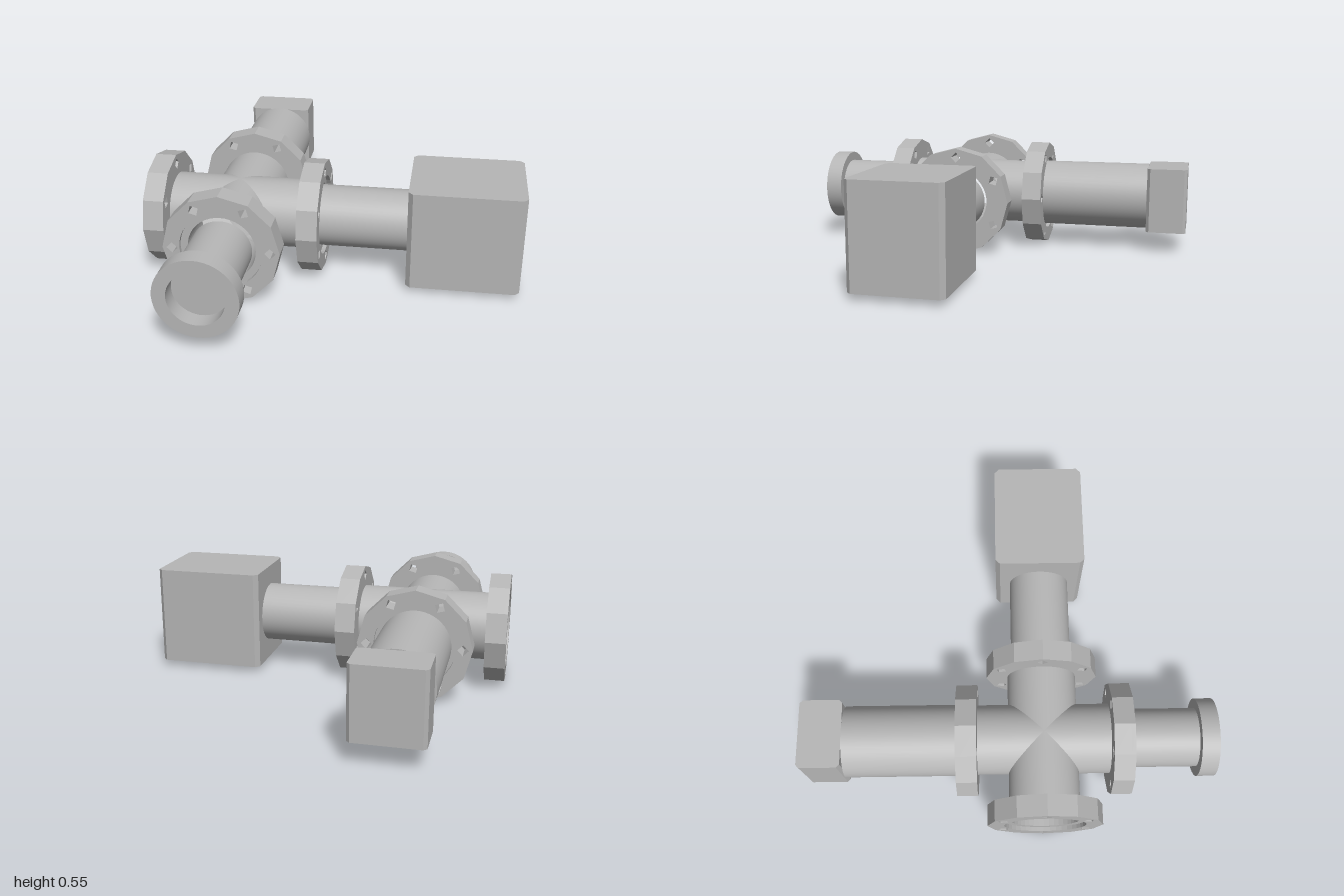
import * as THREE from 'three';

const CX = -0.48, CY = 0.28, CZ = 0.17; // centre of the cross

export function createModel() {
  const model = new THREE.Group();
  const steel = new THREE.MeshStandardMaterial({ color: 0xb6b6b6, side: THREE.DoubleSide });
  steel.name = 'steel grey';

  function add(parent, name, geometry, x = 0, y = 0, z = 0) {
    const mesh = new THREE.Mesh(geometry, steel);
    mesh.name = name;
    mesh.position.set(x, y, z);
    parent.add(mesh);
    return mesh;
  }

  // regular polygon outline
  function ring(n, r, x = 0, y = 0, turn = 0) {
    return Array.from({ length: n }, (_, i) => {
      const a = turn + (i / n) * Math.PI * 2;
      return new THREE.Vector2(x + r * Math.cos(a), y + r * Math.sin(a));
    });
  }

  // twelve-sided plate with a bore and six bolt holes
  function flangePlate(bore, depth, turn) {
    const shape = new THREE.Shape(ring(12, 0.276));
    shape.holes.push(new THREE.Path(ring(40, bore)));
    for (let i = 0; i < 6; i++) {
      const a = turn + (i * Math.PI) / 3;
      shape.holes.push(new THREE.Path(ring(4, 0.027, 0.23 * Math.cos(a), 0.23 * Math.sin(a), a)));
    }
    return new THREE.ExtrudeGeometry(shape, { depth, bevelEnabled: false });
  }

  // open tube along +z, mitred at its inner end to meet its neighbours
  function mitredTube(r) {
    const g = new THREE.CylinderGeometry(r, r, 1, 48, 1, true).rotateX(Math.PI / 2);
    const p = g.attributes.position;
    for (let i = 0; i < p.count; i++) p.setZ(i, p.getZ(i) > 0 ? 0.33 : Math.abs(p.getX(i)));
    return g;
  }

  // solid pipe along +z from z0 to z1
  function pipe(r, z0, z1) {
    return new THREE.CylinderGeometry(r, r, z1 - z0, 48).rotateX(Math.PI / 2).translate(0, 0, (z0 + z1) / 2);
  }

  // box with bevelled upright edges, centred
  function bevelledBox(w, h, d, c) {
    const a = w / 2, b = d / 2;
    const corners = [[a, b - c], [a - c, b], [c - a, b], [-a, b - c], [-a, c - b], [c - a, -b], [a - c, -b], [a, c - b]];
    const shape = new THREE.Shape(corners.map(([x, y]) => new THREE.Vector2(x, y)));
    return new THREE.ExtrudeGeometry(shape, { depth: h, bevelEnabled: false })
      .translate(0, 0, -h / 2).rotateX(-Math.PI / 2);
  }

  // four arms of the cross, each with a recessed flange
  const arms = ['front', 'left', 'back', 'right'].map((side, i) => {
    const arm = new THREE.Group();
    arm.name = side + 'Arm';
    arm.position.set(CX, CY, CZ);
    arm.rotation.y = (i * Math.PI) / 2;
    const turn = i % 2 ? Math.PI / 2 : 0;
    add(arm, 'outerTube', mitredTube(0.17));
    add(arm, 'innerTube', mitredTube(0.16));
    add(arm, 'flange', flangePlate(0.16, 0.08, turn), 0, 0, 0.32);
    add(arm, 'flangeRim', flangePlate(0.195, 0.02, turn), 0, 0, 0.4);
    model.add(arm);
    return arm;
  });
  const [front, left, back] = arms;

  // front pipe with a recessed end ring
  add(front, 'frontPipe', pipe(0.143, 0.4, 0.752));
  const profile = [[0.128, 0.745], [0.19, 0.745], [0.19, 0.83], [0.128, 0.83], [0.128, 0.745]];
  for (let i = 0; i < 4; i++) {
    const pts = profile.slice(i, i + 2).map(([r, z]) => new THREE.Vector2(r, z));
    add(front, 'endRing', new THREE.LatheGeometry(pts, 48).rotateX(Math.PI / 2));
  }

  // side pipe and large housing
  add(left, 'sidePipe', pipe(0.15, 0.4, 0.85));
  add(model, 'largeHousing', bevelledBox(0.54, 0.495, 0.445, 0.022), 0.627, 0.281, CZ);

  // rear pipe and small housing
  add(back, 'rearPipe', pipe(0.174, 0.4, 0.965));
  add(model, 'smallHousing', bevelledBox(0.33, 0.336, 0.205, 0.015), CX, CY, -0.8975);

  return model;
}
